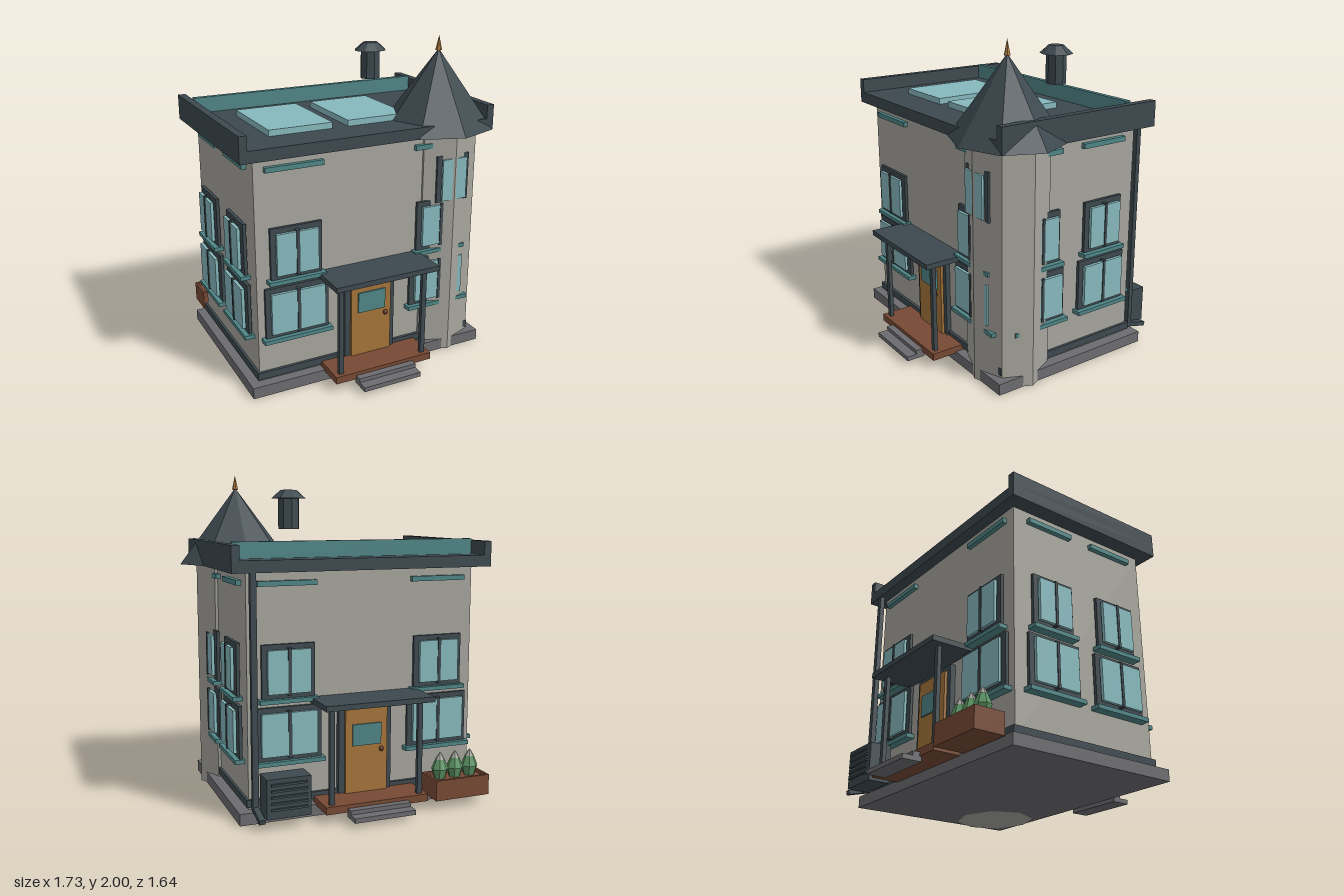
import * as THREE from 'three';

const mat = (name, color) => {
  const m = new THREE.MeshStandardMaterial({ color, flatShading: true });
  m.name = name;
  return m;
};

export function createModel() {
  const stone = mat('wall stone', 0xa6a59d);
  const slate = mat('dark slate', 0x3d494f);
  const teal = mat('teal trim', 0x4f8587);
  const glass = mat('pale glass', 0x87b9bd);
  const grey = mat('foundation grey', 0x6c6c70);
  const oak = mat('door oak', 0xa5743a);
  const wood = mat('brown wood', 0x774a34);
  const leaf = mat('leaf green', 0x5d9565);

  const model = new THREE.Group();
  model.name = 'cornerTowerHouse';
  const CX = -0.055; // middle of the main block

  const add = (parent, name, geo, m) => {
    const mesh = new THREE.Mesh(geo, m);
    mesh.name = name;
    parent.add(mesh);
    return mesh;
  };
  // Box given by its lower and upper limits on each axis
  const box = (parent, name, m, x0, x1, y0, y1, z0, z1) => {
    const b = add(parent, name, new THREE.BoxGeometry(x1 - x0, y1 - y0, z1 - z0), m);
    b.position.set((x0 + x1) / 2, (y0 + y1) / 2, (z0 + z1) / 2);
    return b;
  };
  // Eight-sided drum or cone standing on y0, a little wider along x
  const drum = (parent, name, m, x, z, y0, y1, rBottom, rTop, zScale = 0.89, sides = 8) => {
    const d = add(parent, name, new THREE.CylinderGeometry(rTop, rBottom, y1 - y0, sides), m);
    d.position.set(x, (y0 + y1) / 2, z);
    d.scale.z = zScale;
    return d;
  };
  const group = (name, x = 0, z = 0, angle = 0) => {
    const g = new THREE.Group();
    g.name = name;
    g.position.set(x, 0, z);
    g.rotation.y = angle;
    model.add(g);
    return g;
  };

  // Main block
  box(model, 'foundation', grey, -0.84, 0.735, 0, 0.07, -0.55, 0.55);
  box(model, 'walls', stone, -0.775, 0.665, 0.07, 1.44, -0.487, 0.487);
  box(model, 'baseTrim', slate, -0.79, 0.68, 0.085, 0.13, -0.505, 0.505);

  // Flat roof with raised ends, back rail and skylights
  box(model, 'roofDeck', slate, -0.87, 0.762, 1.44, 1.51, -0.558, 0.552);
  box(model, 'leftParapet', slate, 0.715, 0.762, 1.51, 1.595, -0.558, 0.552);
  box(model, 'rightParapet', slate, -0.87, -0.823, 1.51, 1.595, -0.558, 0.552);
  box(model, 'roofRail', teal, -0.823, 0.715, 1.51, 1.606, -0.4, -0.367);
  for (const x of [-0.614, -0.116]) box(model, 'skylight', glass, x, x + 0.398, 1.51, 1.547, -0.198, 0.332);

  // Chimney pipe with cap
  drum(model, 'chimneyPipe', slate, 0.303, -0.172, 1.67, 1.86, 0.066, 0.066);
  drum(model, 'chimneyCap', slate, 0.303, -0.172, 1.85, 1.9, 0.108, 0.05);

  // Corner tower
  const TX = 0.497, TZ = 0.328;
  drum(model, 'tower', stone, TX, TZ, 0, 1.44, 0.262, 0.262, 0.9);
  drum(model, 'towerRoof', slate, TX, TZ, 1.44, 1.92, 0.366, 0, 0.89);
  drum(model, 'finial', oak, TX, TZ, 1.91, 2, 0.02, 0, 1, 6);
  box(model, 'towerWindowFrame', slate, 0.385, 0.609, 1.015, 1.31, 0.505, 0.536);
  box(model, 'towerWindowGlass', glass, 0.412, 0.582, 1.03, 1.29, 0.545, 0.559);

  // One window: back plate, two panes standing off it, bar and sill
  const windowUnit = (parent, u, w, y0, y1) => {
    const p = w / 2 - 0.03;
    box(parent, 'windowFrame', slate, u - w / 2, u + w / 2, y0, y1, 0.01, 0.03);
    for (const s of [-1, 1]) {
      const a = u + s * 0.01, b = u + s * p;
      box(parent, 'windowPane', glass, Math.min(a, b), Math.max(a, b), y0 + 0.03, y1 - 0.03, 0.038, 0.058);
    }
    box(parent, 'windowBar', slate, u - 0.01, u + 0.01, y0 + 0.02, y1 - 0.02, 0.03, 0.063);
    box(parent, 'windowSill', teal, u - w / 2 - 0.018, u + w / 2 + 0.018, y0 - 0.025, y0, 0, 0.06);
  };

  // Two window columns on each of the four facades
  const facades = [
    ['front', CX, 0.487, 0, 0.48, 1, 0.89],
    ['back', CX, -0.487, Math.PI, 0.48, 1, 0.89],
    ['left', 0.665, 0, Math.PI / 2, 0.235, 0.88, 1],
    ['right', -0.775, 0, -Math.PI / 2, 0.235, 0.88, 1],
  ];
  for (const [name, x, z, angle, column, uScale, outScale] of facades) {
    const g = group(name + 'Windows', x, z, angle);
    g.scale.set(uScale, 1, outScale);
    for (const s of [-1, 1]) {
      const u = (s * column) / uScale;
      windowUnit(g, u, 0.4, 0.35, 0.665);
      windowUnit(g, u, 0.32, 0.715, 1.03);
      box(g, 'upperTrim', teal, u - 0.178, u + 0.178, 1.36, 1.39, 0, 0.03);
    }
  }

  // Door and porch, the same at front and back
  for (const [name, angle] of [['frontPorch', 0], ['backPorch', Math.PI]]) {
    const g = group(name, CX, -0.002, angle);
    box(g, 'doorFrame', slate, -0.172, 0.168, 0.1, 0.65, 0.48, 0.518);
    box(g, 'door', oak, -0.135, 0.135, 0.1, 0.615, 0.48, 0.535);
    box(g, 'doorWindow', teal, -0.092, 0.092, 0.395, 0.525, 0.53, 0.545);
    const knob = add(g, 'doorKnob', new THREE.SphereGeometry(0.016, 8, 6), wood);
    knob.position.set(0.09, 0.366, 0.553);
    box(g, 'porchRoof', slate, -0.341, 0.341, 0.673, 0.705, 0.48, 0.75);
    for (const s of [-1, 1]) box(g, 'porchPost', slate, s * 0.28 - 0.015, s * 0.28 + 0.015, 0.1, 0.675, 0.663, 0.688);
    box(g, 'porchFloor', wood, -0.325, 0.325, 0.06, 0.105, 0.48, 0.713);
    box(g, 'upperStep', grey, -0.192, 0.192, 0.055, 0.083, 0.7, 0.755);
    box(g, 'lowerStep', grey, -0.192, 0.192, 0.03, 0.058, 0.7, 0.818);
  }

  // Planter box with three plants behind the house
  const planter = group('planter');
  box(planter, 'planterBox', wood, -0.783, -0.423, 0.06, 0.165, -0.742, -0.555);
  for (const [z0, z1] of [[-0.742, -0.727], [-0.57, -0.555]]) box(planter, 'planterRim', wood, -0.783, -0.423, 0.165, 0.185, z0, z1);
  for (const [x0, x1] of [[-0.783, -0.768], [-0.438, -0.423]]) box(planter, 'planterRim', wood, x0, x1, 0.165, 0.185, -0.727, -0.57);
  for (const x of [-0.705, -0.603, -0.5]) {
    drum(planter, 'plantLower', leaf, x, -0.637, 0.165, 0.225, 0.035, 0.054, 0.89, 7);
    drum(planter, 'plantUpper', leaf, x, -0.637, 0.225, 0.285, 0.054, 0.028, 0.89, 7);
    drum(planter, 'plantTip', stone, x, -0.637, 0.285, 0.325, 0.03, 0.004, 0.89, 7);
  }

  // Cooling unit with louvres
  const cooler = group('coolingUnit');
  box(cooler, 'coolerBody', slate, 0.353, 0.617, 0.07, 0.302, -0.692, -0.558);
  for (let i = 0; i < 5; i++) {
    const y = 0.12 + i * 0.036;
    box(cooler, 'louvre', slate, 0.378, 0.592, y, y + 0.012, -0.706, -0.69);
  }

  // Downpipe at the back corner with a sloping outlet
  box(model, 'downpipe', slate, 0.622, 0.658, 0.08, 1.44, -0.555, -0.525);
  const outlet = box(model, 'downpipeOutlet', slate, 0.622, 0.658, 0.06, 0.088, -0.68, -0.53);
  outlet.rotation.x = -0.25;

  return model;
}
